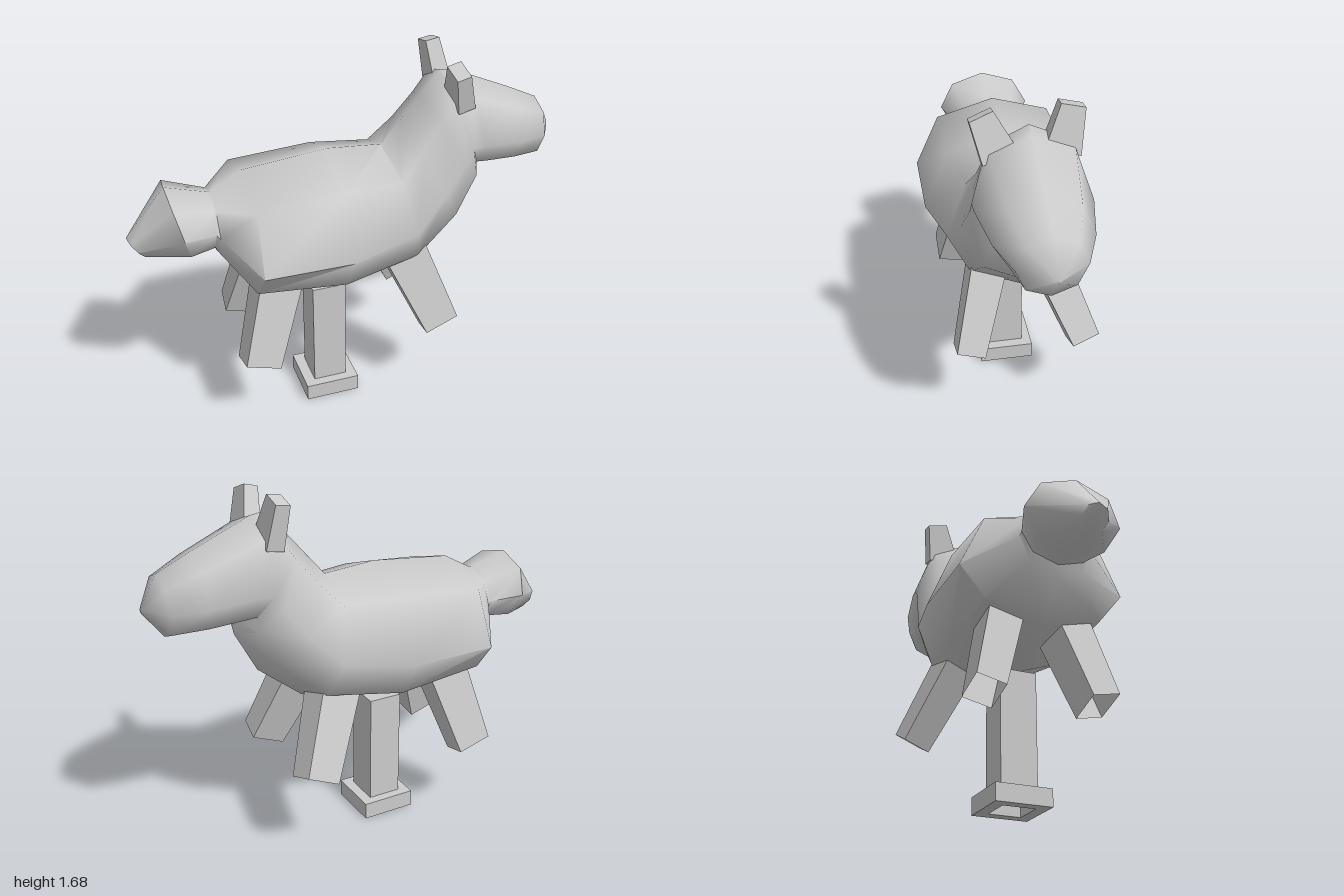
import * as THREE from 'three';
import { toCreasedNormals } from 'three/addons/utils/BufferGeometryUtils.js';

const SIDES = 8;
const smooth = new THREE.MeshStandardMaterial({ color: 0xcccccc });
const flat = new THREE.MeshStandardMaterial({ color: 0xcccccc, flatShading: true, side: THREE.DoubleSide });

function add(parent, name, geometry, material) {
  const mesh = new THREE.Mesh(geometry, material);
  mesh.name = name;
  parent.add(mesh);
  return mesh;
}

// Skin octagonal rings, ordered along +x: [topX, topY, bottomX, bottomY, halfWidth, drop].
// drop lowers the widest points on either side.
function loft(rings) {
  const points = [], index = [];
  rings.forEach(([tx, ty, bx, by, w, drop], i) => {
    for (let j = 0; j < SIDES; j++) {
      const a = (j / SIDES) * Math.PI * 2, c = Math.cos(a) / 2;
      const sag = j % 4 === 2 ? drop : 0;
      points.push((tx + bx) / 2 + c * (tx - bx), (ty + by) / 2 + c * (ty - by) - sag, w * Math.sin(a));
      if (i === rings.length - 1) continue;
      const k = (j + 1) % SIDES, s = i * SIDES;
      index.push(s + j, s + k, s + SIDES + j, s + k, s + SIDES + k, s + SIDES + j);
    }
  });
  // Close both ends
  const last = (rings.length - 1) * SIDES;
  for (let j = 1; j < SIDES - 1; j++) {
    index.push(0, j + 1, j, last, last + j, last + j + 1);
  }
  const g = new THREE.BufferGeometry();
  g.setAttribute('position', new THREE.Float32BufferAttribute(points, 3));
  g.setIndex(index);
  return toCreasedNormals(g, 1.05);
}

// Tapered four-sided bar between two points; a hollow bar has no face at its far end.
function bar(parent, name, from, to, [w0, d0], [w1, d1], hollow) {
  const a = new THREE.Vector3(...from), b = new THREE.Vector3(...to);
  const g = new THREE.BoxGeometry(1, a.distanceTo(b), 1);
  const p = g.attributes.position;
  for (let i = 0; i < p.count; i++) {
    const end = p.getY(i) > 0;
    p.setX(i, p.getX(i) * (end ? w1 : w0));
    p.setZ(i, p.getZ(i) * (end ? d1 : d0));
  }
  if (hollow) g.setIndex([...g.index.array].filter((v, i) => i < 12 || i >= 18));
  const mesh = add(parent, name, g, flat);
  mesh.position.copy(a).add(b).multiplyScalar(0.5);
  // Keep the bar's depth axis close to z while its length follows the two points.
  const y = b.clone().sub(a).normalize();
  const x = y.clone().cross(new THREE.Vector3(0, 0, 1)).normalize();
  mesh.quaternion.setFromRotationMatrix(new THREE.Matrix4().makeBasis(x, y, x.clone().cross(y)));
}

export function createModel() {
  const model = new THREE.Group();
  model.name = 'springRiderHorse';

  // One skin from tail tip through barrel, chest and neck to the muzzle
  add(model, 'body', loft([
    [-1, 1.0, -0.92, 0.9, 0.06, 0],
    [-0.82, 1.215, -0.74, 0.9, 0.22, 0],
    [-0.635, 1.16, -0.64, 0.91, 0.165, 0],
    [-0.625, 1.16, -0.62, 0.87, 0.17, 0],
    [-0.48, 1.24, -0.5, 0.69, 0.38, 0.055],
    [-0.09, 1.28, -0.09, 0.635, 0.38, 0.05],
    [0.16, 1.26, 0.29, 0.7, 0.315, 0.03],
    [0.25, 1.365, 0.5, 0.87, 0.27, 0.02],
    [0.34, 1.47, 0.6, 1.06, 0.245, 0.04],
    [0.43, 1.58, 0.58, 1.12, 0.24, 0.06],
    [0.5, 1.57, 0.63, 1.118, 0.24, 0.05],
    [0.77, 1.455, 0.76, 1.115, 0.2, 0.02],
    [0.92, 1.385, 0.905, 1.11, 0.14, 0],
    [0.995, 1.25, 0.993, 1.23, 0.01, 0],
  ]), smooth);

  // Splayed, hollow legs
  const legs = [
    ['leftFrontLeg', [0.2, 0.83, 0.13], [0.375, 0.41, 0.25]],
    ['rightFrontLeg', [0.17, 0.82, -0.11], [0.36, 0.41, -0.28]],
    ['leftHindLeg', [-0.36, 0.82, 0.13], [-0.5, 0.37, 0.235]],
    ['rightHindLeg', [-0.35, 0.82, -0.13], [-0.475, 0.37, -0.26]],
  ];
  for (const [name, hip, foot] of legs) bar(model, name, hip, foot, [0.2, 0.16], [0.165, 0.13], true);

  // Ears
  bar(model, 'leftEar', [0.475, 1.48, 0.125], [0.435, 1.64, 0.19], [0.08, 0.15], [0.065, 0.1], false);
  bar(model, 'rightEar', [0.475, 1.48, -0.12], [0.445, 1.665, -0.165], [0.08, 0.15], [0.065, 0.1], false);

  // Support post, open below, on a square frame foot
  bar(model, 'post', [-0.12, 0.61, 0.015], [-0.12, 0.06, 0.015], [0.16, 0.17], [0.16, 0.17], true);
  const square = (shape, h) =>
    shape.moveTo(-h, -h).lineTo(h, -h).lineTo(h, h).lineTo(-h, h).closePath();
  const outline = square(new THREE.Shape(), 0.13);
  outline.holes.push(square(new THREE.Path(), 0.075));
  const foot = add(model, 'postFoot',
    new THREE.ExtrudeGeometry(outline, { depth: 0.08, bevelEnabled: false }), flat);
  foot.rotation.x = -Math.PI / 2;
  foot.position.set(-0.12, 0, 0.015);

  return model;
}
